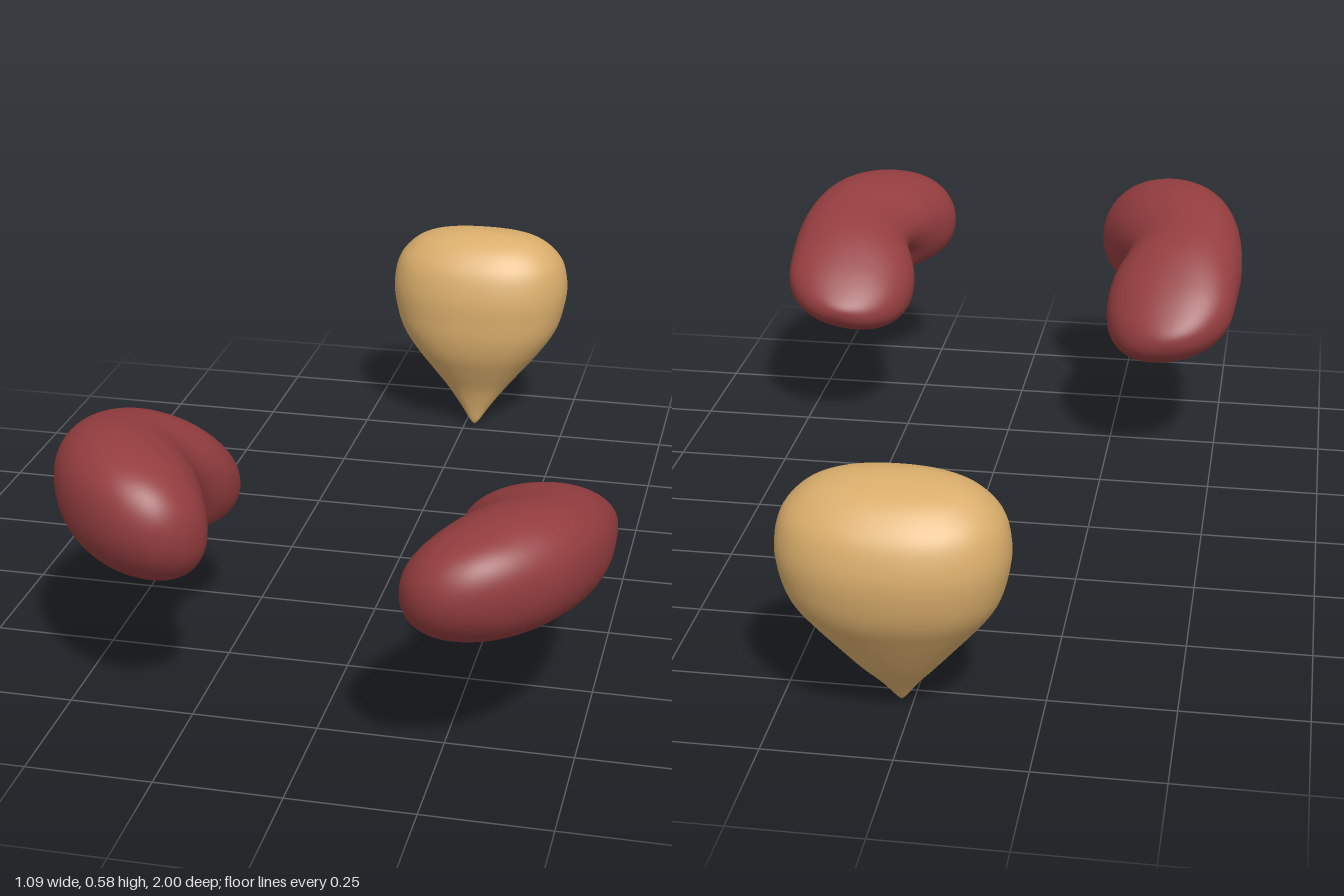
import * as THREE from 'three';
import { mergeVertices } from 'three/addons/utils/BufferGeometryUtils.js';

const SIDES = 56;

// Closed skin over rings; point(t, angle) gives each vertex, t runs 0..1
function loft(steps, point) {
  const pos = [], index = [];
  for (let i = 0; i <= steps; i++) {
    for (let j = 0; j < SIDES; j++) {
      pos.push(...point(i / steps, (j / SIDES) * Math.PI * 2));
    }
  }
  for (let i = 0; i < steps; i++) {
    for (let j = 0; j < SIDES; j++) {
      const k = (j + 1) % SIDES;
      const a = i * SIDES + j, b = i * SIDES + k;
      index.push(a, b, b + SIDES, a, b + SIDES, a + SIDES);
    }
  }
  let geo = new THREE.BufferGeometry();
  geo.setAttribute('position', new THREE.Float32BufferAttribute(pos, 3));
  geo.setIndex(index);
  geo = mergeVertices(geo, 1e-5);
  geo.computeVertexNormals();
  return geo;
}

const spline = rows => new THREE.CatmullRomCurve3(
  rows.map(r => new THREE.Vector3(...r)), false, 'catmullrom', 0.5);

// Slightly squared ellipse
const soft = (v, n) => Math.sign(v) * Math.abs(v) ** (2 / n);

// Kidney centre line (x, y) and section radii (width, height), back to front
const kidneyCentre = spline([
  [-0.39, 0.335, 0], [-0.39, 0.335, 0], [-0.391, 0.352, 0], [-0.39, 0.382, 0], [-0.403, 0.41, 0],
  [-0.37, 0.431, 0], [-0.33, 0.439, 0], [-0.308, 0.448, 0], [-0.30, 0.45, 0],
]);
const kidneyRadius = spline([
  [0.20, 0.115, 0], [0.20, 0.118, 0], [0.19, 0.132, 0], [0.165, 0.14, 0], [0.142, 0.142, 0],
  [0.165, 0.155, 0], [0.191, 0.173, 0], [0.197, 0.19, 0], [0.20, 0.19, 0],
]);

// side 1 lies at -x, side -1 is its mirror
function kidneyGeometry(side) {
  return loft(64, (t, angle) => {
    const theta = t * Math.PI;
    const c = kidneyCentre.getPoint(t), r = kidneyRadius.getPoint(t);
    const u = Math.cos(angle * side), v = Math.sin(angle * side);
    // Notch on the inner, lower flank
    const facing = Math.max(0, Math.cos(angle * side + 0.6));
    const dent = 1 - 0.5 * Math.exp(-(((theta - 1.62) / 0.3) ** 2)) * facing ** 4;
    const s = Math.sin(theta) * dent;
    const dx = soft(u, 2.15) * r.x * s;
    const dy = soft(v, 2.15) * r.y * s - 0.16 * dx;
    return [side * (c.x + dx), c.y + dy, 0.585 - 0.31 * Math.cos(theta)];
  });
}

// Bladder rows: height, half width, front z, back z
const BLADDER = [
  [0, 0, -0.785, -0.785], [0.012, 0.012, -0.777, -0.795], [0.05, 0.038, -0.768, -0.825],
  [0.1, 0.077, -0.752, -0.872], [0.15, 0.118, -0.727, -0.91], [0.2, 0.159, -0.703, -0.945],
  [0.25, 0.193, -0.691, -0.977], [0.3, 0.21, -0.688, -0.994], [0.36, 0.218, -0.69, -1.0],
  [0.42, 0.207, -0.706, -0.985], [0.46, 0.177, -0.734, -0.953], [0.485, 0.137, -0.765, -0.917],
  [0.499, 0.08, -0.797, -0.872], [0.505, 0, -0.832, -0.832],
];
const bladderSize = spline(BLADDER.map(([y, w]) => [w, y, 0]));
const bladderDepth = spline(BLADDER.map(([y, , f, b]) => [f, y, b]));

function bladderGeometry() {
  return loft(65, (t, angle) => {
    const p = bladderSize.getPoint(t), d = bladderDepth.getPoint(t);
    const x = 0.024 + p.x * soft(Math.cos(angle), 2.2);
    const z = (d.x + d.z) / 2 - ((d.x - d.z) / 2) * soft(Math.sin(angle), 2.2);
    return [x, p.y, z];
  });
}

export function createModel() {
  const group = new THREE.Group();
  const red = new THREE.MeshStandardMaterial({ color: 0x943d3f });
  red.name = 'kidneyRed';
  const tan = new THREE.MeshStandardMaterial({ color: 0xd9ad6b });
  tan.name = 'bladderTan';

  const add = (parent, name, geo, mat) => {
    const mesh = new THREE.Mesh(geo, mat);
    mesh.name = name;
    parent.add(mesh);
    return mesh;
  };

  for (const [side, name] of [[1, 'rightKidney'], [-1, 'leftKidney']]) {
    const kidney = new THREE.Group();
    kidney.name = name;
    add(kidney, 'kidneyBody', kidneyGeometry(side), red);
    // Small stub inside the notch
    const stub = add(kidney, 'hilumStub', new THREE.SphereGeometry(0.04, 24, 16), red);
    stub.scale.set(1.3, 0.8, 1);
    stub.position.set(-side * 0.32, 0.345, 0.58);
    // The left one sits further forward and is flatter
    if (side < 0) {
      kidney.scale.y = 0.86;
      kidney.position.set(0, 0.038, 0.1);
    }
    group.add(kidney);
  }

  add(group, 'bladder', bladderGeometry(), tan);
  return group;
}
